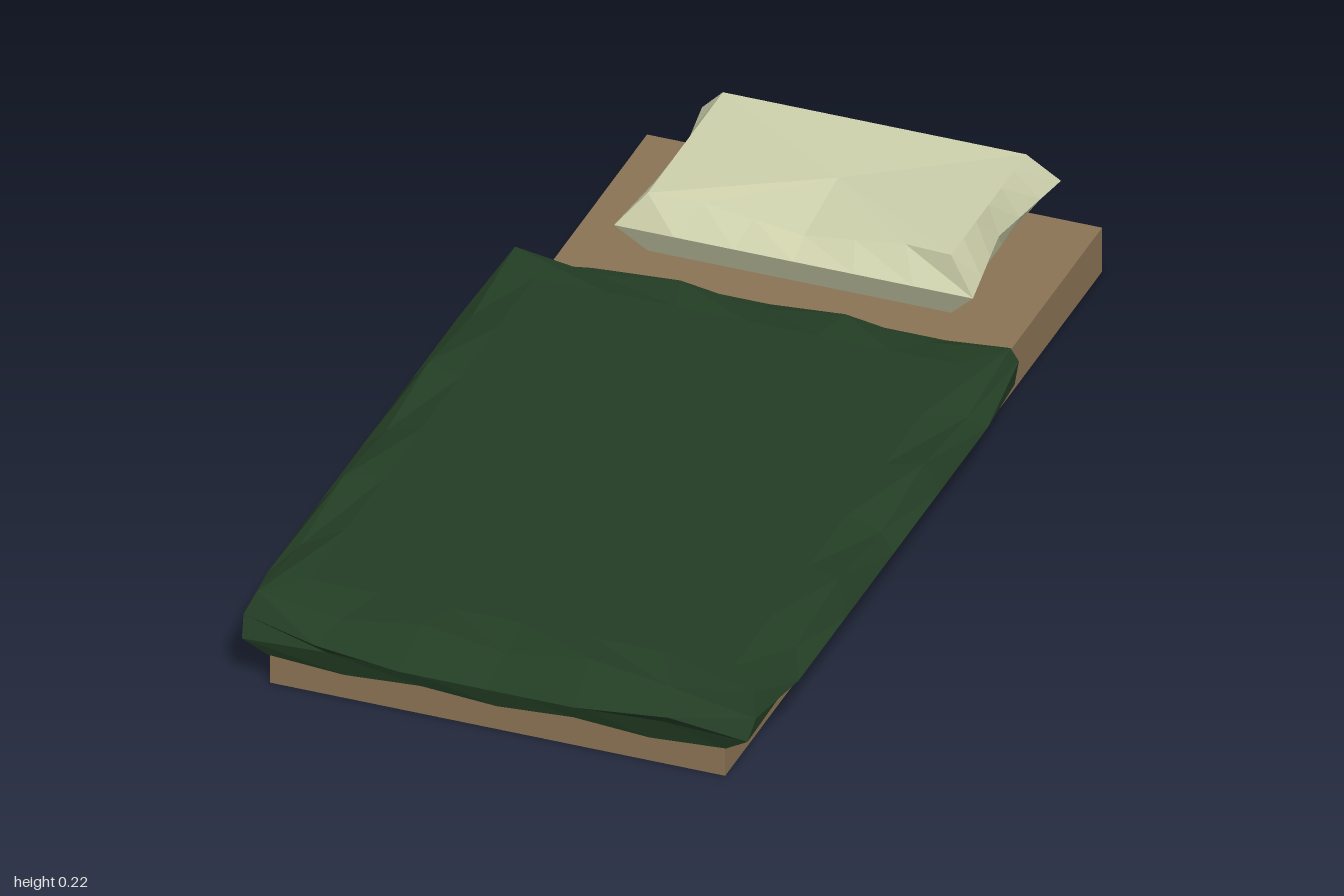
import * as THREE from 'three';

const N = 6; // segments per side of a rim

// Rectangular rim, counter-clockwise from above: sides 0 front, 1 +x, 2 back, 3 -x.
// shape(p, side, t) adjusts each point; t runs -1..1 along the side.
function rim(hx, z0, z1, y, shape = () => {}) {
  const corners = [[-hx, z1], [hx, z1], [hx, z0], [-hx, z0]];
  const ring = [];
  for (let s = 0; s < 4; s++) {
    const a = corners[s], b = corners[(s + 1) % 4];
    for (let i = 0; i < N; i++) {
      const k = i / N;
      const p = new THREE.Vector3(a[0] + (b[0] - a[0]) * k, y, a[1] + (b[1] - a[1]) * k);
      shape(p, s, k * 2 - 1, i);
      ring.push(p);
    }
  }
  return ring;
}

// Skin rims from top to bottom; cap the top, and the bottom if a height is given
function skin(rings, topY, bottomY) {
  const pos = [];
  const tri = (...v) => v.forEach((p) => pos.push(p.x, p.y, p.z));
  const n = rings[0].length;
  const middle = (ring, y) => {
    const c = ring.reduce((m, p) => m.add(p), new THREE.Vector3()).divideScalar(n);
    c.y = y;
    return c;
  };
  const last = rings[rings.length - 1];
  const top = middle(rings[0], topY);
  for (let i = 0; i < n; i++) {
    const j = (i + 1) % n;
    tri(top, rings[0][i], rings[0][j]);
    for (let r = 0; r + 1 < rings.length; r++) {
      const a = rings[r], b = rings[r + 1];
      tri(a[i], b[i], b[j]);
      tri(a[i], b[j], a[j]);
    }
    if (bottomY !== undefined) tri(middle(last, bottomY), last[j], last[i]);
  }
  const g = new THREE.BufferGeometry();
  g.setAttribute('position', new THREE.Float32BufferAttribute(pos, 3));
  g.computeVertexNormals();
  return g;
}

// Outer blanket edge: corners drawn in, ends bulging
const bulge = (p, s, t) => {
  const u = Math.abs(t);
  if (s === 0) p.z -= u > 0.9 ? 0.07 : u > 0.5 ? 0.03 : 0;
  if (s === 2) p.z += u > 0.9 ? 0.035 : 0;
  if (s === 1 && u > 0.9) p.z -= 0.07;
  if (s === 3 && u > 0.9) p.z += 0.035;
  if (u > 0.9) p.x *= 0.965;
};

export function createModel() {
  const group = new THREE.Group();
  const make = (name, color, extra = {}) => {
    const m = new THREE.MeshStandardMaterial({ color, flatShading: true, ...extra });
    m.name = name;
    return m;
  };
  const tan = make('mattress tan', 0x8b7355);
  const green = make('blanket green', 0x233d24, { side: THREE.DoubleSide });
  const cream = make('pillow cream', 0xcccfaa);
  const add = (name, geometry, material) => {
    const mesh = new THREE.Mesh(geometry, material);
    mesh.name = name;
    group.add(mesh);
  };

  // Mattress slab
  add('mattress', new THREE.BoxGeometry(0.9, 0.095, 1.905).translate(0, 0.0475, -0.0125), tan);

  // Blanket: flat middle, rippled shoulder, outer edge, under-hem, front skirt
  add('blanket', skin([
    rim(0.42, -0.32, 0.82, 0.162),
    rim(0.49, -0.4, 0.9, 0.167, (p, s, t, i) => { if (i % 2) p.y -= 0.025; }),
    rim(0.525, -0.435, 1, 0.12, (p, s, t, i) => {
      bulge(p, s, t);
      if (i === 0) p.y = 0.13;
      if (s === 2) p.y += 0.012;
    }),
    rim(0.5, -0.395, 0.955, 0.093, (p, s, t, i) => { if (i % 2) p.y += 0.007; }),
    rim(0.453, -0.38, 0.944, 0.091, (p, s, t, i) => {
      if (p.z > 0.9) p.y = i % 2 ? 0.052 : 0.062;
    }),
  ], 0.162), green);

  // Pillow: sagging front top edge, pinched seam, narrower base
  add('pillow', skin([
    rim(0.3, -0.965, -0.585, 0.22, (p, s, t) => {
      if (s === 0) {
        p.y -= 0.04 * (1 - Math.abs(t));
        if (Math.abs(t) < 0.9) p.z -= 0.025;
      }
    }),
    rim(0.355, -1, -0.555, 0.155, (p, s, t) => {
      const pinch = 1 - Math.abs(t);
      if (s % 2) p.x *= 1 - 0.1 * pinch;
      if (s === 2) p.z += 0.025 * Math.max(0, 1 - 2 * Math.abs(t));
    }),
    rim(0.3, -0.965, -0.585, 0.095),
  ], 0.208, 0.096), cream);

  return group;
}
